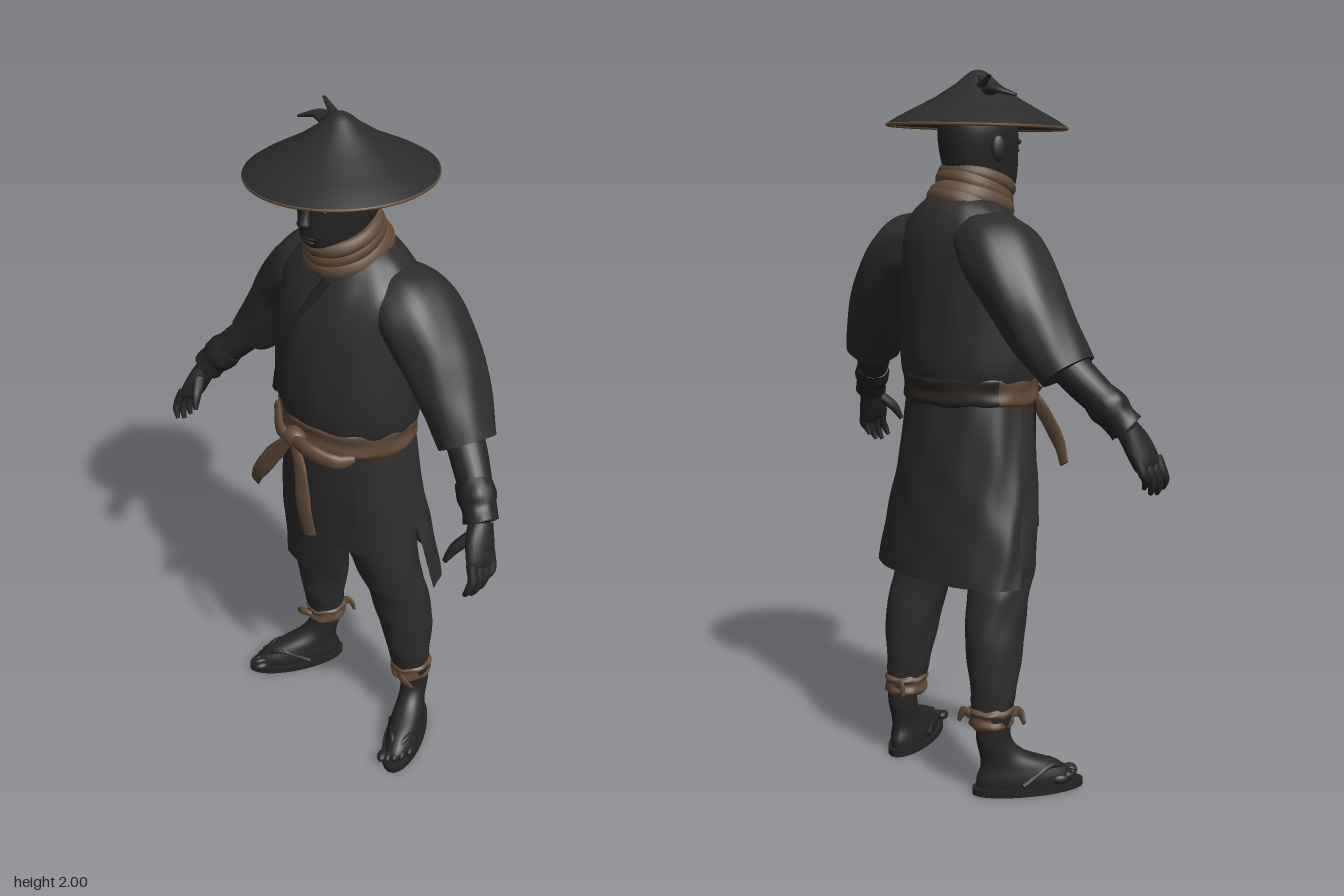
import * as THREE from 'three';

const mat = (name, color) => {
  const m = new THREE.MeshStandardMaterial({ color, side: THREE.DoubleSide });
  m.name = name;
  return m;
};

// Lofts ellipses along [x, y, z, radiusU, radiusV] sections. flat keeps every ring level;
// arc leaves the ring open; fold ripples the surface like cloth.
function loft(sections, { flat = false, arc = null, fold = 0, waves = 7, twist = 2, steps = 24, seg = 32, cap = true } = {}) {
  const path = new THREE.CatmullRomCurve3(sections.map(s => new THREE.Vector3(s[0], s[1], s[2])), false, 'catmullrom', 0.5);
  const size = new THREE.CatmullRomCurve3(sections.map(s => new THREE.Vector3(s[3], s[4], 0)), false, 'catmullrom', 0.5);
  const pos = [], index = [], cols = arc ? seg + 1 : seg;
  const [a0, a1] = arc || [0, Math.PI * 2];
  for (let i = 0; i <= steps; i++) {
    const k = i / steps, c = path.getPoint(k), r = size.getPoint(k);
    const t = flat ? new THREE.Vector3(0, 1, 0) : path.getTangent(k);
    const v = new THREE.Vector3(0, 0, 1).addScaledVector(t, -t.z).normalize();
    const u = new THREE.Vector3().crossVectors(t, v);
    for (let j = 0; j < cols; j++) {
      const a = a0 + (a1 - a0) * j / seg;
      const f = 1 + fold * (Math.sin(waves * a + twist * k * 4) + 0.6 * Math.sin((waves - 4) * a - twist * k * 7));
      const p = c.clone().addScaledVector(u, r.x * f * Math.cos(a)).addScaledVector(v, r.y * f * Math.sin(a));
      pos.push(p.x, p.y, p.z);
    }
  }
  for (let i = 0; i < steps; i++) for (let j = 0; j < seg; j++) {
    const j2 = arc ? j + 1 : (j + 1) % seg;
    const a = i * cols + j, b = i * cols + j2;
    index.push(a, a + cols, b, b, a + cols, b + cols);
  }
  if (cap && !arc) for (const end of [0, 1]) {
    const base = pos.length / 3, row = end * steps * cols * 3;
    for (let j = 0; j < cols * 3; j++) pos.push(pos[row + j]);
    const c = path.getPoint(end);
    pos.push(c.x, c.y, c.z);
    for (let j = 0; j < cols; j++) {
      const p = base + j, q = base + (j + 1) % cols;
      index.push(base + cols, end ? q : p, end ? p : q);
    }
  }
  const g = new THREE.BufferGeometry();
  g.setAttribute('position', new THREE.Float32BufferAttribute(pos, 3));
  g.setIndex(index);
  g.computeVertexNormals();
  return g;
}

export function createModel() {
  const cloth = mat('charcoal cloth', 0x2c2c2c), skin = mat('dark skin', 0x252526), straw = mat('dark straw', 0x2b2b2b);
  const brown = mat('brown cloth', 0x614a37), trim = mat('dark trim', 0x232323), sash = mat('dark sash', 0x2b2723);
  const root = new THREE.Group();
  const add = (name, geo, m, parent = root) => {
    const mesh = new THREE.Mesh(geo, m);
    mesh.name = name;
    parent.add(mesh);
    return mesh;
  };
  const ball = (name, m, x, y, z, sx, sy, sz, parent = root) => {
    const b = add(name, new THREE.SphereGeometry(1, 16, 12), m, parent);
    b.position.set(x, y, z);
    b.scale.set(sx, sy, sz);
    return b;
  };

  // Head and face
  add('head', loft([[-0.01, 1.58, -0.03, 0.06, 0.06], [-0.01, 1.65, 0.0, 0.06, 0.085], [-0.01, 1.69, 0.02, 0.078, 0.108],
    [-0.01, 1.77, 0.013, 0.094, 0.119], [-0.01, 1.84, 0.008, 0.1, 0.12], [-0.01, 1.9, 0, 0.08, 0.1]], { flat: true }), skin);
  add('nose', loft([[-0.01, 1.8, 0.122, 0.01, 0.01], [-0.01, 1.765, 0.134, 0.014, 0.014], [-0.01, 1.745, 0.138, 0.02, 0.017],
    [-0.01, 1.735, 0.128, 0.012, 0.008]], { flat: true, seg: 12, steps: 10 }), skin);
  for (const [y, w] of [[1.706, 0.026], [1.695, 0.023]]) ball('lip', skin, -0.01, y, 0.122, w, 0.007, 0.013);
  ball('chin', skin, -0.01, 1.665, 0.09, 0.032, 0.024, 0.026);
  for (const s of [-1, 1]) {
    ball('ear', skin, -0.01 + s * 0.1, 1.785, -0.005, 0.01, 0.035, 0.022).rotation.y = s * 0.3;
    ball('brow', skin, -0.01 + s * 0.042, 1.808, 0.112, 0.03, 0.009, 0.014).rotation.y = s * 0.4;
    ball('eye', trim, -0.01 + s * 0.04, 1.785, 0.112, 0.016, 0.007, 0.008);
  }

  // Wide conical hat with a brown rim and a knotted cloth strip
  const hat = new THREE.Group();
  hat.name = 'hat';
  hat.position.set(-0.016, 1.85, 0);
  hat.rotation.z = 0.035;
  root.add(hat);
  const lathe = pts => new THREE.LatheGeometry(pts.map(p => new THREE.Vector2(...p)), 56);
  add('hatTop', lathe([[0.25, 0], [0.22, 0.019], [0.19, 0.035], [0.12, 0.072], [0.06, 0.112], [0.035, 0.134], [0.018, 0.146], [0, 0.15]]), straw, hat);
  add('hatUnderside', lathe([[0, 0.09], [0.12, 0.05], [0.25, -0.006]]), straw, hat);
  const rim = add('hatRim', new THREE.TorusGeometry(0.248, 0.0045, 8, 56), brown, hat);
  rim.rotation.x = Math.PI / 2;
  rim.position.y = -0.004;
  add('hatStrip', loft([[-0.02, 1.98, -0.01, 0.01, 0.012], [-0.07, 1.965, -0.02, 0.012, 0.018], [-0.12, 1.935, -0.05, 0.012, 0.02],
    [-0.17, 1.935, -0.07, 0.01, 0.024], [-0.225, 1.918, -0.05, 0.004, 0.006]], { seg: 12 }), straw);
  add('hatStripEnd', loft([[-0.07, 1.96, -0.03, 0.008, 0.01], [-0.12, 1.95, -0.075, 0.008, 0.014], [-0.175, 1.972, -0.095, 0.003, 0.005]],
    { seg: 10, steps: 12 }), straw);

  // Wrapped scarf, higher at the nape
  const scarf = new THREE.Group();
  scarf.name = 'scarf';
  scarf.position.set(-0.005, 1.66, -0.005);
  scarf.rotation.x = 0.34;
  root.add(scarf);
  [[-0.05, 0.09, 0.03, 0.14], [-0.02, 0.086, 0.03, -0.05], [0.015, 0.082, 0.026, 0.06], [0.042, 0.086, 0.02, -0.03]].forEach(([y, R, r, tilt]) => {
    const wrap = add('scarfWrap', new THREE.TorusGeometry(R, r, 12, 44).rotateX(Math.PI / 2).scale(1, 1.1, 1.1), brown, scarf);
    wrap.position.y = y;
    wrap.rotation.set(tilt, 0, tilt * 0.6);
  });

  // Loose tunic with crossed lapel
  add('tunicBody', loft([[0, 1.1, -0.01, 0.19, 0.155], [0, 1.18, -0.01, 0.218, 0.178], [0, 1.3, -0.01, 0.222, 0.182], [0, 1.45, -0.02, 0.217, 0.173],
    [0, 1.55, -0.035, 0.212, 0.15], [0, 1.62, -0.045, 0.15, 0.115], [0, 1.66, -0.045, 0.09, 0.085]],
    { flat: true, fold: 0.008, waves: 13, steps: 40, seg: 72 }), cloth);
  add('lapel', loft([[0.03, 1.59, 0.098, 0.014, 0.007], [-0.01, 1.51, 0.13, 0.014, 0.007], [-0.05, 1.42, 0.152, 0.014, 0.007],
    [-0.1, 1.3, 0.153, 0.014, 0.007], [-0.14, 1.2, 0.134, 0.014, 0.007]], { seg: 12 }), trim);

  // Skirt: long rear panel, shorter front panel, hanging apron
  const PI = Math.PI;
  add('rearSkirt', loft([[0, 0.6, -0.09, 0.283, 0.13], [0, 0.75, -0.065, 0.262, 0.14], [0, 0.9, -0.04, 0.235, 0.15], [0, 1.14, -0.015, 0.195, 0.155]],
    { flat: true, arc: [PI - 0.08, 2 * PI + 0.08], fold: 0.012, waves: 11, seg: 64 }), cloth);
  add('frontSkirt', loft([[0, 0.75, -0.01, 0.245, 0.135], [0, 0.9, -0.01, 0.23, 0.145], [0, 1.14, -0.01, 0.195, 0.155]],
    { flat: true, arc: [-0.1, PI + 0.1], fold: 0.006, seg: 56 }), cloth);
  add('apron', loft([[-0.008, 0.63, 0, 0.225, 0.145], [-0.008, 0.85, 0, 0.225, 0.15], [-0.008, 1.12, -0.005, 0.215, 0.165]],
    { flat: true, arc: [PI / 3, PI * 2 / 3], fold: 0.004 }), cloth);

  // Sash: brown in front, dark behind, tied with two tails
  const band = (name, m, arc, grow) => add(name, loft([[0, 1.085, -0.01, 0.196 + grow, 0.158 + grow], [0, 1.1, -0.01, 0.205 + grow, 0.17 + grow],
    [0, 1.13, -0.01, 0.203 + grow, 0.167 + grow], [0, 1.16, -0.01, 0.207 + grow, 0.172 + grow], [0, 1.175, -0.01, 0.198 + grow, 0.16 + grow]],
    { flat: true, arc, fold: 0.006, waves: 9, seg: 56 }), m);
  band('sashFront', brown, [-0.75, PI + 0.4], 0.006);
  band('sashBack', sash, [PI + 0.3, 2 * PI - 0.65], 0.005);
  ball('sashKnot', brown, -0.02, 1.118, 0.178, 0.036, 0.03, 0.03);
  const ribbons = [
    ['sashTail', [[-0.03, 1.11, 0.19, 0.016, 0.01], [-0.09, 1.03, 0.2, 0.026, 0.007], [-0.14, 0.96, 0.205, 0.024, 0.006], [-0.175, 0.9, 0.195, 0.018, 0.005]]],
    ['sashTail', [[-0.01, 1.11, 0.19, 0.016, 0.01], [0.03, 1.03, 0.205, 0.026, 0.007], [0.06, 0.95, 0.225, 0.03, 0.007], [0.095, 0.87, 0.235, 0.026, 0.005]]],
    ['sashLoop', [[-0.02, 1.12, 0.19, 0.014, 0.012], [0.05, 1.115, 0.195, 0.026, 0.014], [0.12, 1.095, 0.165, 0.024, 0.014], [0.16, 1.105, 0.125, 0.01, 0.008]]],
    ['sashLoop', [[-0.02, 1.12, 0.19, 0.014, 0.012], [-0.07, 1.125, 0.185, 0.024, 0.012], [-0.14, 1.145, 0.13, 0.02, 0.01]]],
  ];
  for (const [name, pts] of ribbons) add(name, loft(pts, { seg: 14, fold: 0.05 }), brown);

  for (const s of [-1, 1]) {
    const side = s > 0 ? 'left' : 'right';
    const limb = (name, m, pts, opt) => add(side + name, loft(pts.map(([x, ...r]) => [s * x, ...r]), opt), m);

    // Wide half sleeve
    limb('Sleeve', cloth, [[0.1, 1.555, -0.05, 0.07, 0.1], [0.185, 1.505, -0.065, 0.1, 0.128], [0.28, 1.4, -0.07, 0.094, 0.12],
      [0.35, 1.3, -0.06, 0.083, 0.105], [0.415, 1.205, -0.04, 0.07, 0.085]], { fold: 0.018, steps: 32, seg: 40 });
    // Forearm with wrapped wrist
    limb('Forearm', skin, [[0.38, 1.25, -0.045, 0.05, 0.055], [0.44, 1.185, -0.015, 0.05, 0.052], [0.5, 1.12, 0.02, 0.045, 0.044],
      [0.545, 1.06, 0.05, 0.036, 0.04]], { seg: 24 });
    limb('WristWrap', trim, [[0.48, 1.14, 0.01, 0.048, 0.048], [0.505, 1.113, 0.024, 0.054, 0.052], [0.525, 1.088, 0.036, 0.046, 0.046],
      [0.545, 1.062, 0.048, 0.048, 0.047]], { seg: 24, fold: 0.02 });
    // Hand, fingers and thumb
    limb('Palm', skin, [[0.545, 1.06, 0.05, 0.03, 0.035], [0.562, 1.02, 0.07, 0.028, 0.046], [0.58, 0.975, 0.085, 0.024, 0.048],
      [0.585, 0.955, 0.09, 0.015, 0.04]], { seg: 20 });
    for (let i = 0; i < 4; i++) {
      const z = 0.05 + i * 0.025, drop = [0.02, 0.003, 0, 0.012][i];
      limb('Finger', skin, [[0.582, 0.985, z, 0.014, 0.014], [0.597, 0.945, z + 0.008, 0.013, 0.013],
        [0.596, 0.91 + drop, z + 0.018, 0.012, 0.011], [0.585, 0.885 + drop, z + 0.024, 0.006, 0.006]], { seg: 10, steps: 10 });
    }
    limb('Thumb', skin, [[0.545, 1.035, 0.085, 0.017, 0.018], [0.52, 1.0, 0.12, 0.015, 0.015], [0.505, 0.96, 0.14, 0.007, 0.007]], { seg: 10, steps: 10 });

    // Trousers gathered at the ankle
    limb('Trouser', cloth, [[0.19, 0.22, -0.1, 0.05, 0.055], [0.188, 0.3, -0.09, 0.062, 0.07], [0.18, 0.42, -0.08, 0.073, 0.086],
      [0.165, 0.55, -0.055, 0.085, 0.09], [0.15, 0.65, -0.025, 0.093, 0.095], [0.12, 0.82, -0.01, 0.108, 0.115], [0.1, 1.0, -0.01, 0.1, 0.12]],
      { flat: true, fold: 0.022, twist: 5, waves: 6, steps: 48, seg: 40 });
    limb('AnkleWrap', brown, [[0.19, 0.19, -0.1, 0.05, 0.055], [0.19, 0.203, -0.1, 0.06, 0.066], [0.19, 0.225, -0.1, 0.056, 0.062],
      [0.19, 0.24, -0.1, 0.061, 0.067], [0.19, 0.252, -0.1, 0.05, 0.055]], { flat: true, fold: 0.03 });
    limb('AnkleRag', brown, [[0.2, 0.215, -0.04, 0.01, 0.01], [0.225, 0.222, -0.025, 0.016, 0.007], [0.255, 0.2, -0.035, 0.008, 0.004]], { seg: 10 });
    limb('AnkleRag', brown, [[0.17, 0.225, -0.15, 0.012, 0.01], [0.14, 0.235, -0.16, 0.014, 0.006], [0.125, 0.205, -0.165, 0.007, 0.004]], { seg: 10 });

    // Foot and sandal, toes turned out
    const foot = new THREE.Group();
    foot.name = side + 'Foot';
    foot.position.set(s * 0.25, 0, -0.015);
    foot.rotation.y = s * 0.48;
    root.add(foot);
    add('sole', loft([[0, 0, 0, 0.06, 0.162], [0, 0.02, 0, 0.06, 0.162]], { flat: true, steps: 2 }), trim, foot);
    add('instep', loft([[0, 0.018, -0.01, 0.05, 0.14], [0, 0.045, -0.01, 0.052, 0.14], [0, 0.08, -0.03, 0.046, 0.108],
      [0, 0.115, -0.075, 0.04, 0.066], [0, 0.16, -0.1, 0.042, 0.05], [0, 0.23, -0.1, 0.044, 0.05]], { flat: true }), skin, foot);
    for (let i = 0; i < 5; i++)
      ball('toe', skin, s * (-0.036 + i * 0.019), 0.034, 0.132 - i * i * 0.003, i ? 0.011 : 0.015, 0.014, 0.024, foot);
    for (const d of [-1, 1])
      add('sandalStrap', loft([[0, 0.04, 0.12, 0.008, 0.008], [d * 0.028, 0.072, 0.06, 0.009, 0.009], [d * 0.054, 0.03, -0.03, 0.009, 0.009]],
        { seg: 10, steps: 12 }), trim, foot);
  }
  return root;
}
